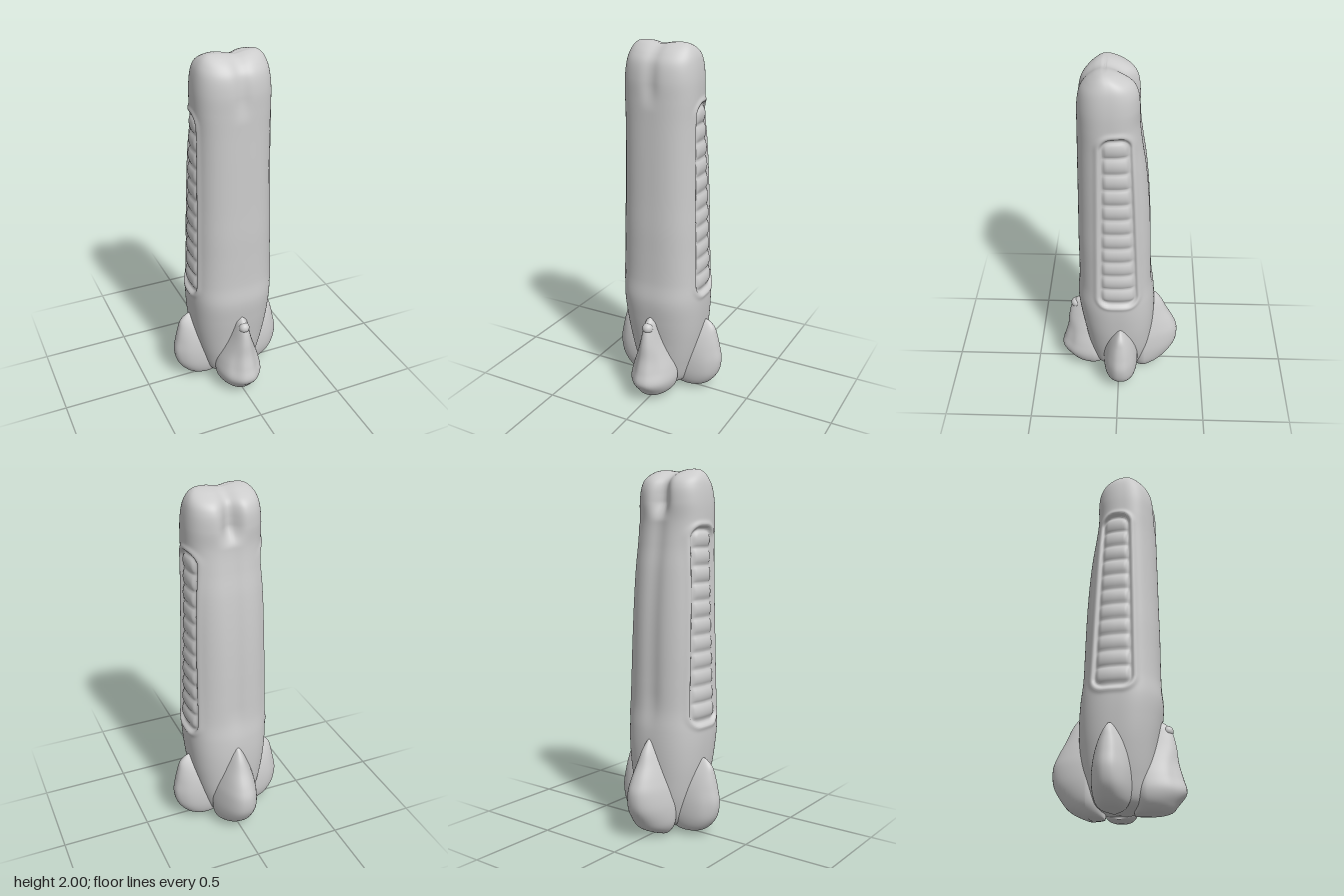
import * as THREE from 'three';

const material = new THREE.MeshStandardMaterial({ color: 0xcccccc, roughness: 0.8 });
const gauss = (v, s) => Math.exp(-(v * v) / (s * s));
const step = THREE.MathUtils.smoothstep;
const spow = (v, p) => Math.sign(v) * Math.pow(Math.abs(v), p);

// Skin a stack of closed rings (bottom to top) and cap both ends
function loft(rings, name) {
  const n = rings[0].length, pos = [], idx = [];
  rings.forEach(r => r.forEach(p => pos.push(p.x, p.y, p.z)));
  for (let j = 0; j < rings.length - 1; j++) {
    for (let i = 0; i < n; i++) {
      const a = j * n + i, b = j * n + (i + 1) % n;
      idx.push(a, a + n, b, b, a + n, b + n);
    }
  }
  [0, rings.length - 1].forEach((j, top) => {
    const c = new THREE.Vector3(), k = pos.length / 3;
    rings[j].forEach(p => c.addScaledVector(p, 1 / n));
    pos.push(c.x, c.y, c.z);
    for (let i = 0; i < n; i++) {
      const a = j * n + i, b = j * n + (i + 1) % n;
      if (top) idx.push(a, k, b); else idx.push(a, b, k);
    }
  });
  const g = new THREE.BufferGeometry();
  g.setAttribute('position', new THREE.Float32BufferAttribute(pos, 3));
  g.setIndex(idx);
  g.computeVertexNormals();
  const mesh = new THREE.Mesh(g, material);
  mesh.name = name;
  return mesh;
}

// Smooth curve through table columns
const curve = pts => new THREE.CatmullRomCurve3(pts, false, 'catmullrom', 0.5);

// Column: [height, half width, front z, back z]
const COLUMN = [
  [0.03, 0.02, 0.02, -0.02], [0.04, 0.09, 0.1, -0.1], [0.08, 0.145, 0.15, -0.15],
  [0.2, 0.185, 0.18, -0.185], [0.35, 0.215, 0.205, -0.2], [0.48, 0.23, 0.225, -0.205],
  [0.6, 0.236, 0.237, -0.2], [0.72, 0.232, 0.228, -0.187], [0.87, 0.226, 0.226, -0.182],
  [1.02, 0.222, 0.226, -0.178], [1.17, 0.217, 0.223, -0.172], [1.32, 0.213, 0.221, -0.162],
  [1.47, 0.209, 0.219, -0.147], [1.6, 0.206, 0.217, -0.127], [1.72, 0.207, 0.216, -0.113],
  [1.82, 0.206, 0.214, -0.115], [1.9, 0.197, 0.2, -0.106], [1.95, 0.182, 0.17, -0.075],
  [1.985, 0.155, 0.13, -0.01], [2.0, 0.115, 0.095, 0.045], [2.0, 0.02, 0.075, 0.065],
];

// Sunken side panel with a raised rim and a stack of ribs
function panelOffset(y, z) {
  const t = THREE.MathUtils.clamp((y - 0.62) / 1.09, 0, 1);
  const mid = THREE.MathUtils.lerp(0.0, 0.015, t);
  const half = THREE.MathUtils.lerp(0.122, 0.09, t);
  const qy = Math.max(Math.abs(y - 1.165) - 0.545 + 0.075, 0);
  const qz = Math.max(Math.abs(z - mid) - half + 0.075, 0);
  const d = Math.hypot(qy, qz) - 0.075;
  const ribs = Math.pow(Math.abs(Math.sin((y - 0.66) * Math.PI / 0.0925)), 0.6);
  const ribMask = step(-d, 0.018, 0.045) * step(y, 0.64, 0.68) * (1 - step(y, 1.66, 1.69));
  return 0.007 * gauss(d, 0.014) - 0.016 * step(-d, 0.006, 0.028) + 0.016 * ribs * ribMask;
}

function makeColumn() {
  const front = curve(COLUMN.map(([y, w, f]) => new THREE.Vector3(w, y, f)));
  const back = curve(COLUMN.map(([y, , , b]) => new THREE.Vector3(0, y, b)));
  const rings = [], rows = 290, sides = 160;
  for (let j = 0; j <= rows; j++) {
    const f = front.getPoint(j / rows), b = back.getPoint(j / rows);
    const mid = (f.z + b.z) / 2, half = (f.z - b.z) / 2, y = f.y, ring = [];
    const size = Math.min(1, half / 0.16);
    const backGroove = 0.012 * step(y, 0.55, 0.8) + 0.05 * step(y, 1.72, 1.83);
    const frontGroove = 0.014 * step(y, 1.66, 1.8);
    for (let i = 0; i < sides; i++) {
      const a = i / sides * Math.PI * 2, c = Math.cos(a), s = Math.sin(a);
      let x = f.x * spow(c, 0.8), z = mid + half * spow(s, 0.8);
      // Cleft between the top lobes and the shallow channels below
      if (s < 0) z += backGroove * gauss(x, 0.05) * size * -s;
      else z -= frontGroove * gauss(x, 0.04) * size * s;
      if (y > 0.55 && y < 1.78) x += Math.sign(c) * panelOffset(y, z) * step(Math.abs(c), 0.3, 0.6);
      const dip = 0.012 * gauss(x, 0.05) * step(y, 1.9, 2.0);
      ring.push(new THREE.Vector3(x, y - dip, z));
    }
    rings.push(ring);
  }
  return loft(rings, 'column');
}

// Foot facing +z; rows are [height, half width, outward reach].
// keel sharpens the outer edge, dent hollows both flanks.
function makeFoot(name, rows, { keel = 1, dent = 0, core = 0.14 }) {
  const path = curve(rows.map(([y, w, o]) => new THREE.Vector3(w, y, o)));
  const rings = [], steps = 56, sides = 56;
  for (let j = 0; j <= steps; j++) {
    const p = path.getPoint(j / steps), ring = [];
    for (let i = 0; i < sides; i++) {
      const a = i / sides * Math.PI * 2, c = Math.cos(a), s = Math.sin(a);
      const reach = s > 0 ? (p.z - core) * Math.pow(s, keel) : 0.08 * s;
      const hollow = dent * gauss(Math.abs(c) - 0.55, 0.25) * Math.max(s, 0) * gauss(p.y - 0.2, 0.1);
      ring.push(new THREE.Vector3(p.x * spow(c, 0.85), p.y, core + reach - hollow));
    }
    rings.push(ring);
  }
  return loft(rings, name);
}

export function createModel() {
  const model = new THREE.Group();
  model.name = 'column with four feet';
  model.add(makeColumn());

  // Front foot with a small knob at its tip
  const frontFoot = new THREE.Group();
  frontFoot.name = 'frontFoot';
  frontFoot.add(makeFoot('frontFootBody', [
    [0.02, 0.02, 0.18], [0.03, 0.075, 0.265], [0.07, 0.115, 0.305], [0.13, 0.13, 0.348],
    [0.2, 0.118, 0.333], [0.28, 0.092, 0.312], [0.36, 0.066, 0.303], [0.43, 0.048, 0.288],
    [0.48, 0.036, 0.265], [0.51, 0.012, 0.225],
  ], { dent: 0.018, keel: 1.15, core: 0.16 }));
  const knob = new THREE.Mesh(new THREE.SphereGeometry(0.03, 24, 16), material);
  knob.name = 'frontFootKnob';
  knob.position.set(0, 0.455, 0.258);
  frontFoot.add(knob);
  model.add(frontFoot);

  // Keeled back foot
  const backFoot = makeFoot('backFoot', [
    [0.005, 0.02, 0.13], [0.015, 0.075, 0.18], [0.05, 0.11, 0.25], [0.1, 0.128, 0.295],
    [0.18, 0.132, 0.34], [0.27, 0.122, 0.348], [0.34, 0.105, 0.325], [0.42, 0.08, 0.283],
    [0.49, 0.052, 0.252], [0.54, 0.026, 0.218], [0.56, 0.01, 0.19],
  ], { keel: 1.6, core: 0.15 });
  backFoot.rotation.y = Math.PI;
  model.add(backFoot);

  // Matching side feet
  for (const side of [1, -1]) {
    const foot = makeFoot(side > 0 ? 'leftFoot' : 'rightFoot', [
      [0.02, 0.02, 0.17], [0.03, 0.06, 0.225], [0.06, 0.085, 0.27], [0.12, 0.099, 0.311],
      [0.2, 0.1, 0.326], [0.28, 0.09, 0.313], [0.35, 0.07, 0.298], [0.4, 0.045, 0.283],
      [0.435, 0.022, 0.25], [0.445, 0.008, 0.225],
    ], { dent: 0.008 });
    foot.rotation.y = side * Math.PI / 2;
    foot.position.z = -0.012;
    model.add(foot);
  }
  return model;
}
